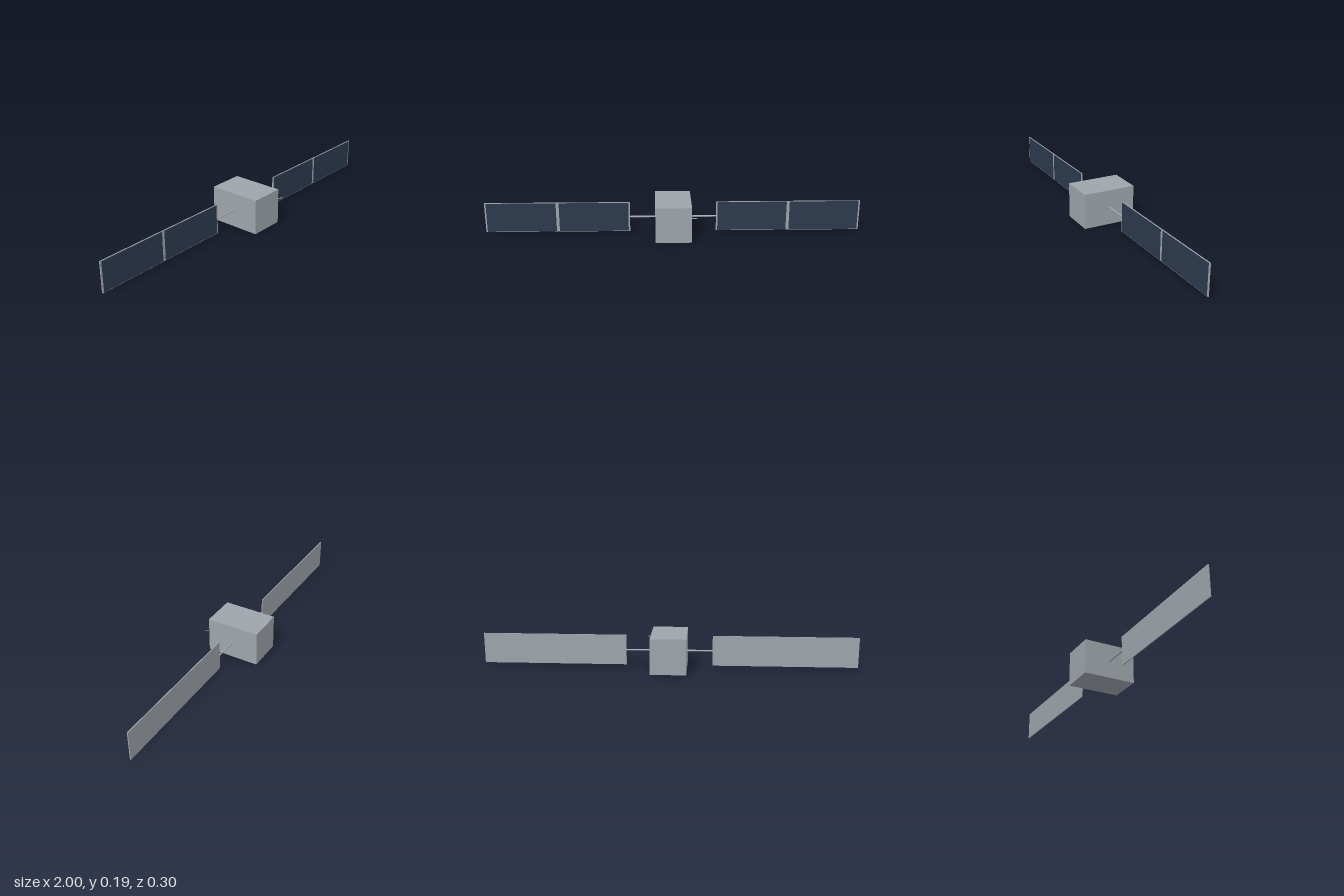
import * as THREE from 'three';

export function createModel() {
  const root = new THREE.Group();
  root.name = 'satellite';

  const metal = new THREE.MeshStandardMaterial({ color: 0x9ea5ab });
  metal.name = 'metal grey';
  const solar = new THREE.MeshStandardMaterial({ color: 0x2c3a4e });
  solar.name = 'solar navy';

  const midY = 0.096, midZ = -0.004;

  function box(name, parent, mat, w, h, d, x, y, z) {
    const mesh = new THREE.Mesh(new THREE.BoxGeometry(w, h, d), mat);
    mesh.name = name;
    mesh.position.set(x, y, z);
    parent.add(mesh);
  }

  // Round rod between two points
  function rod(name, parent, a, b, radius) {
    const dir = b.clone().sub(a);
    const mesh = new THREE.Mesh(new THREE.CylinderGeometry(radius, radius, dir.length(), 12), metal);
    mesh.name = name;
    mesh.position.copy(a).add(b).multiplyScalar(0.5);
    mesh.quaternion.setFromUnitVectors(new THREE.Vector3(0, 1, 0), dir.normalize());
    parent.add(mesh);
  }

  box('body', root, metal, 0.19, 0.191, 0.286, 0, 0.0955, midZ);

  // Mirrored wings: boom, backing panel and two solar cells on the front
  for (const side of [-1, 1]) {
    const wing = new THREE.Group();
    wing.name = side > 0 ? 'leftWing' : 'rightWing';
    root.add(wing);
    rod('boom', wing, new THREE.Vector3(side * 0.09, midY, midZ),
      new THREE.Vector3(side * 0.232, midY, midZ), 0.0045);
    box('panel', wing, metal, 0.77, 0.163, 0.005, side * 0.615, midY, midZ);
    for (const offset of [-0.1925, 0.1925]) {
      box('solarCell', wing, solar, 0.369, 0.158, 0.001, side * 0.615 + offset, midY, midZ + 0.003);
    }
  }

  // Short antenna slanting out of the left side
  rod('antenna', root, new THREE.Vector3(0.092, 0.126, 0.113),
    new THREE.Vector3(0.124, 0.136, 0.147), 0.0022);

  return root;
}
